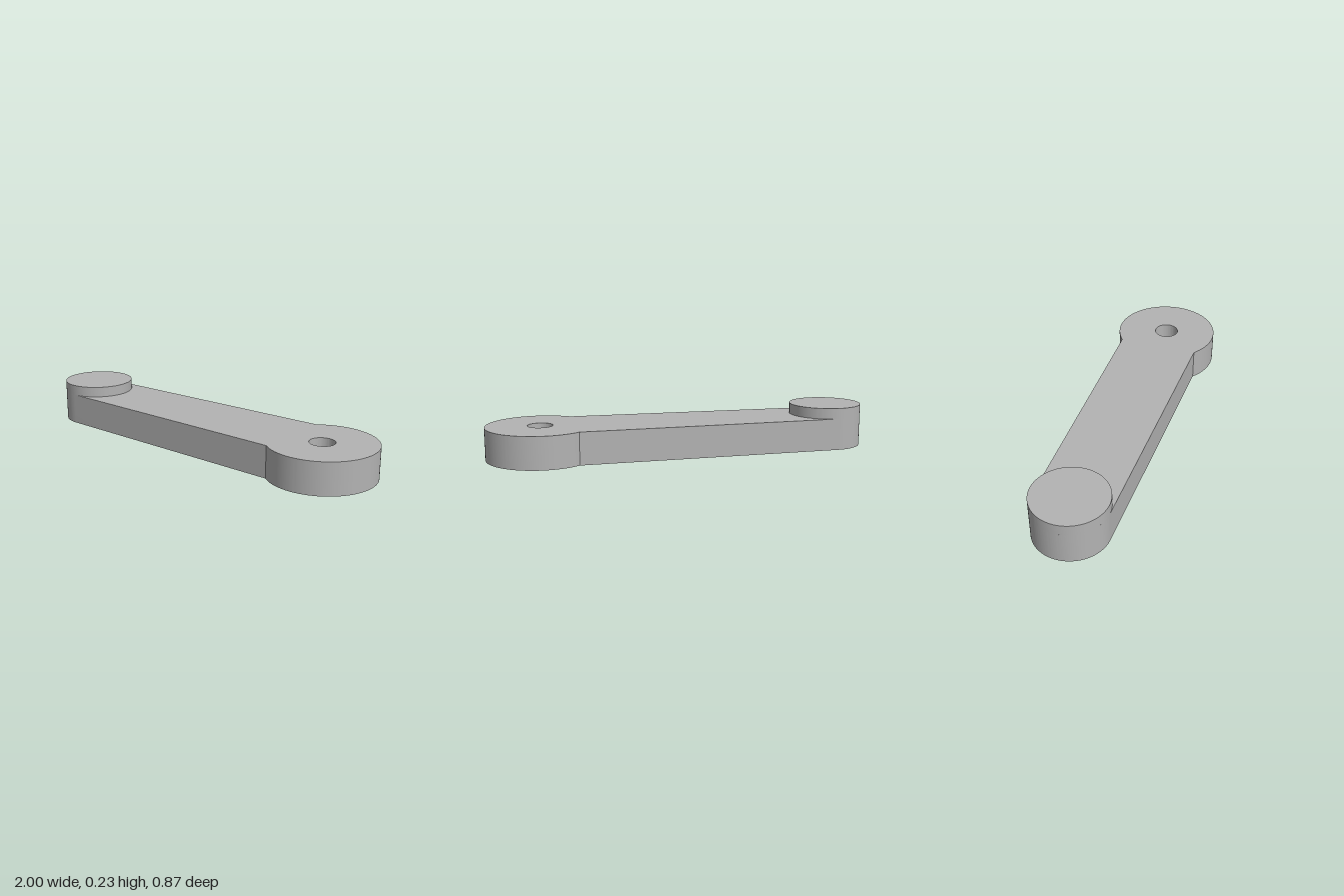
import * as THREE from 'three';
import { toCreasedNormals } from 'three/addons/utils/BufferGeometryUtils.js';

const PLATE_TOP = 0.17, BOSS_TOP = 0.227;
// Plan coordinates: shape y is -z
const hub = { x: 0.717, y: -0.153, r: 0.283, hole: 0.066 };
const boss = { x: -0.805, y: 0.24, r: 0.195 };

// Extrude a plan shape upwards from y0 to y1, smooth round the arcs
function slab(shape, y0, y1) {
  const geometry = new THREE.ExtrudeGeometry(shape, {
    depth: y1 - y0, bevelEnabled: false, curveSegments: 64,
  });
  geometry.rotateX(-Math.PI / 2).translate(0, y0, 0);
  return toCreasedNormals(geometry, 0.35);
}

export function createModel() {
  const group = new THREE.Group();
  const grey = new THREE.MeshStandardMaterial({ color: 0xb3b3b3 });
  grey.name = 'plain grey';

  // Tapered arm with a round hub at one end and a tangent rounded tip at the other
  const outline = new THREE.Shape();
  outline.absarc(hub.x, hub.y, hub.r,
    Math.atan2(-0.167, -0.228), Math.atan2(0.258, -0.113), false);
  outline.absarc(boss.x, boss.y, boss.r,
    Math.atan2(0.973, 0.232), Math.atan2(-0.964, -0.266), false);
  outline.closePath();

  // Shaft hole through the hub
  const hole = new THREE.Path();
  hole.absarc(hub.x, hub.y, hub.hole, 0, Math.PI * 2, true);
  outline.holes.push(hole);

  const arm = new THREE.Mesh(slab(outline, 0, PLATE_TOP), grey);
  arm.name = 'leverArm';
  group.add(arm);

  // Raised round boss on the tip
  const disc = new THREE.Shape();
  disc.absarc(boss.x, boss.y, boss.r, 0, Math.PI * 2, false);
  const cap = new THREE.Mesh(slab(disc, PLATE_TOP, BOSS_TOP), grey);
  cap.name = 'raisedBoss';
  group.add(cap);

  return group;
}
